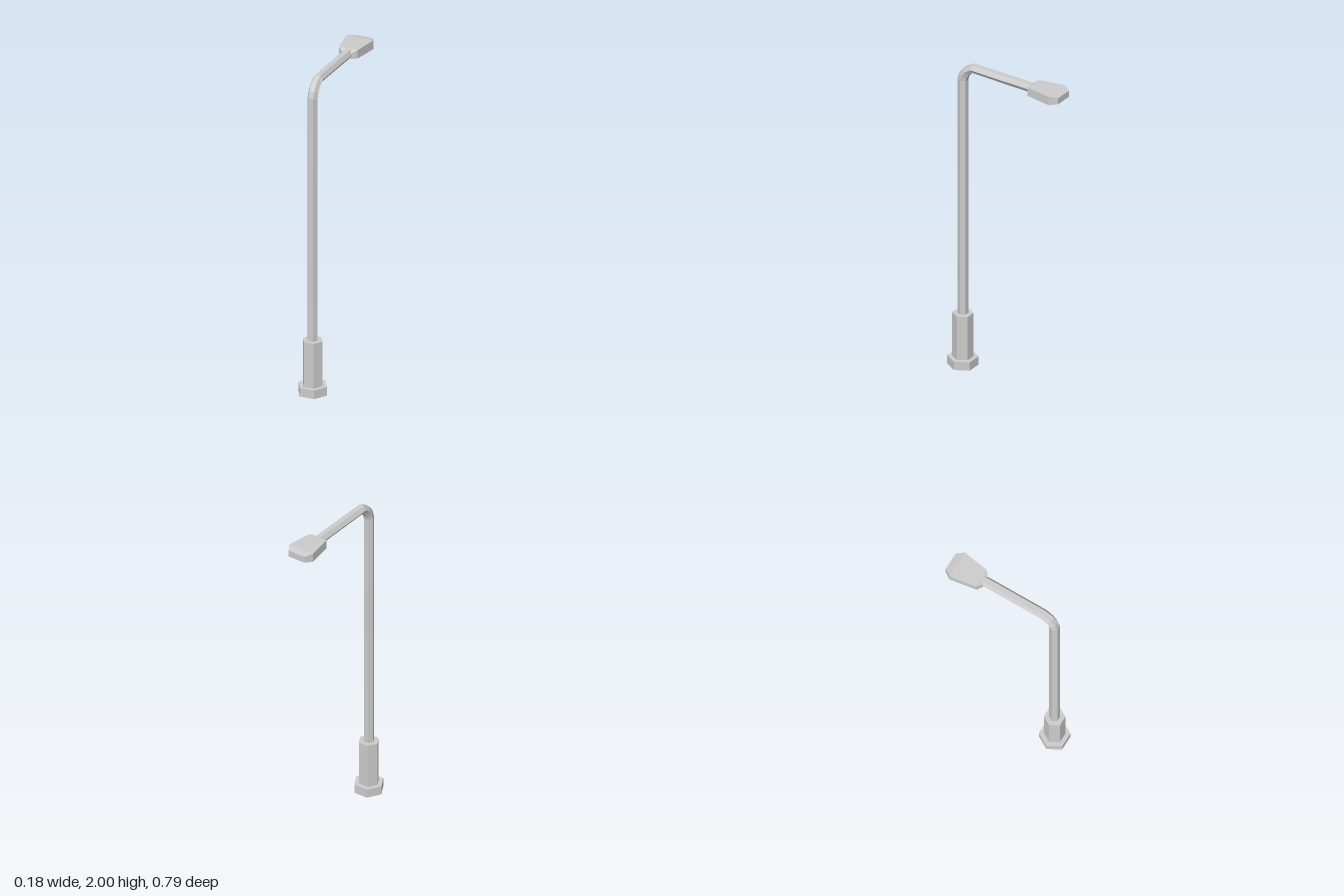
import * as THREE from 'three';

const POLE_Z = 0.312;

// Skin a list of equal-length point rings and close both ends
function loft(rings) {
  const pos = [];
  const tri = (...pts) => pts.forEach((p) => pos.push(...p));
  const n = rings[0].length;
  for (let k = 0; k < rings.length - 1; k++) {
    const a = rings[k], b = rings[k + 1];
    for (let i = 0; i < n; i++) {
      const j = (i + 1) % n;
      tri(a[i], b[i], b[j]);
      tri(a[i], b[j], a[j]);
    }
  }
  const first = rings[0], last = rings[rings.length - 1];
  for (let i = 1; i < n - 1; i++) {
    tri(first[0], first[i], first[i + 1]);
    tri(last[0], last[i + 1], last[i]);
  }
  const geo = new THREE.BufferGeometry();
  geo.setAttribute('position', new THREE.Float32BufferAttribute(pos, 3));
  geo.computeVertexNormals();
  return geo;
}

// Hexagon whose outer side leans from +z (0 degrees) to +y (90 degrees)
function hexRing(z, y, degrees, depth = 1) {
  const a = THREE.MathUtils.degToRad(degrees);
  return Array.from({ length: 6 }, (_, i) => {
    const t = (i * Math.PI) / 3;
    const u = 0.032 * Math.sin(t) * depth;
    return [0.032 * Math.cos(t), y + u * Math.sin(a), z + u * Math.cos(a)];
  });
}

// Rectangular section of the lamp head
function headRing(z, w, y0, y1) {
  return [[w, y0, z], [w, y1, z], [-w, y1, z], [-w, y0, z]];
}

export function createModel() {
  const group = new THREE.Group();
  const material = new THREE.MeshStandardMaterial({ color: 0xcccccc, flatShading: true });

  function add(name, geometry) {
    const mesh = new THREE.Mesh(geometry, material);
    mesh.name = name;
    group.add(mesh);
    return mesh;
  }

  // Hexagonal foot and sleeve
  function hexPrism(name, radius, bottom, top) {
    const geo = new THREE.CylinderGeometry(radius, radius, top - bottom, 6, 1, false, Math.PI / 6);
    add(name, geo).position.set(0, (bottom + top) / 2, POLE_Z);
  }
  hexPrism('foot', 0.092, 0, 0.055);
  hexPrism('sleeve', 0.063, 0.055, 0.34);

  // Pole, bend and arm as one hexagonal tube
  add('poleAndArm', loft([
    hexRing(POLE_Z, 0.3, 0),
    hexRing(POLE_Z, 1.885, 5),
    hexRing(0.302, 1.917, 30),
    hexRing(0.28, 1.948, 52),
    hexRing(0.24, 1.976, 82, 0.87),
    hexRing(-0.18, 1.972, 90, 0.92),
  ]));

  // Lamp head, widening towards its blunt tip
  add('lampHead', loft([
    headRing(-0.162, 0.03, 1.946, 1.982),
    headRing(-0.183, 0.06, 1.945, 1.998),
    headRing(-0.35, 0.086, 1.944, 2.0),
    headRing(-0.395, 0.057, 1.95, 1.99),
  ])).position.x = -0.003;

  return group;
}
